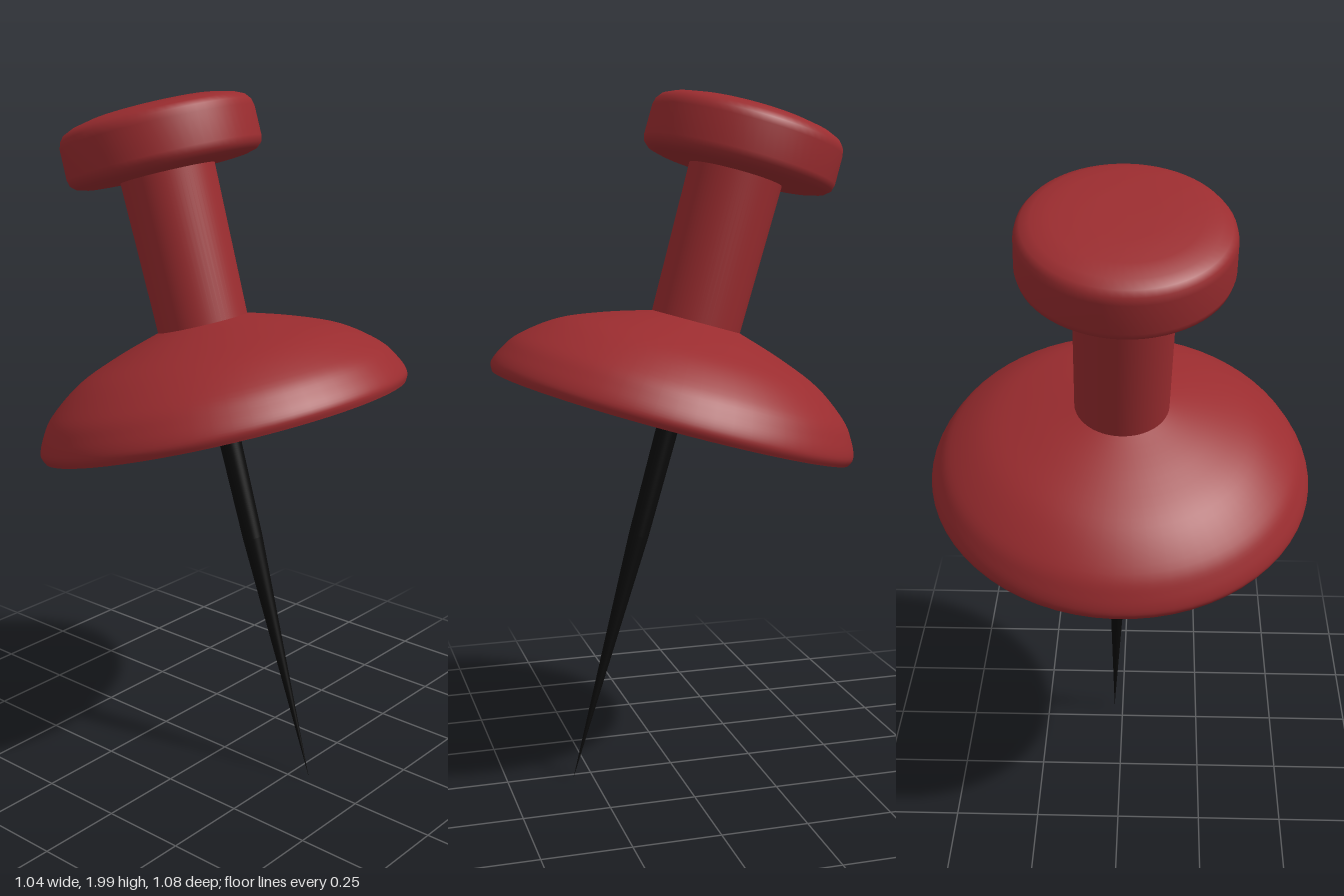
import * as THREE from 'three';

const SEGMENTS = 64;

// Solid of revolution from [radius, height] pairs, listed bottom to top
function turned(name, profile, material) {
  const points = profile.map(([r, y]) => new THREE.Vector2(r, y));
  const mesh = new THREE.Mesh(new THREE.LatheGeometry(points, SEGMENTS), material);
  mesh.name = name;
  return mesh;
}

// Smooth a coarse profile with a spline
function smoothed(profile, count) {
  const curve = new THREE.SplineCurve(profile.map(([r, y]) => new THREE.Vector2(r, y)));
  return curve.getPoints(count).map((p) => [p.x, p.y]);
}

export function createModel() {
  const red = new THREE.MeshStandardMaterial({ color: 0x9a2c2f, side: THREE.DoubleSide });
  const black = new THREE.MeshStandardMaterial({ color: 0x0a0a0a });

  // The pin is turned about its own axis, with the collar's rim at height 0
  const pin = new THREE.Group();
  pin.name = 'pin';

  // Wide domed collar with a shallow hollow underneath
  pin.add(turned('collarDome', smoothed([
    [0.532, 0], [0.54, 0.025], [0.522, 0.068], [0.482, 0.122],
    [0.385, 0.193], [0.26, 0.244], [0.13, 0.284],
  ], 30), red));
  pin.add(turned('collarUnderside', [[0, 0.03], [0.25, 0.02], [0.532, 0]], red));

  // Straight grip
  pin.add(turned('grip', [[0.131, 0.27], [0.137, 0.73]], red));

  // Flat round head with softened edges
  pin.add(turned('head', [
    [0, 0.718], [0.13, 0.718], [0.235, 0.722], [0.262, 0.729], [0.277, 0.742],
    [0.282, 0.76], [0.281, 0.845], [0.276, 0.864], [0.264, 0.879],
    [0.238, 0.891], [0.19, 0.902], [0.1, 0.906], [0, 0.906],
  ], red));

  // Needle: nearly even shank, then a long taper to the point
  pin.add(turned('needle', [[0, -1.115], [0.029, -0.36], [0.033, 0.05]], black));

  // Lean the pin so that its point touches the ground
  const axis = new THREE.Vector3(-0.277, 0.961, 0.025).normalize();
  pin.quaternion.setFromUnitVectors(new THREE.Vector3(0, 1, 0), axis);
  pin.position.y = 1.075;

  const model = new THREE.Group();
  model.name = 'pushPin';
  model.add(pin);
  return model;
}
